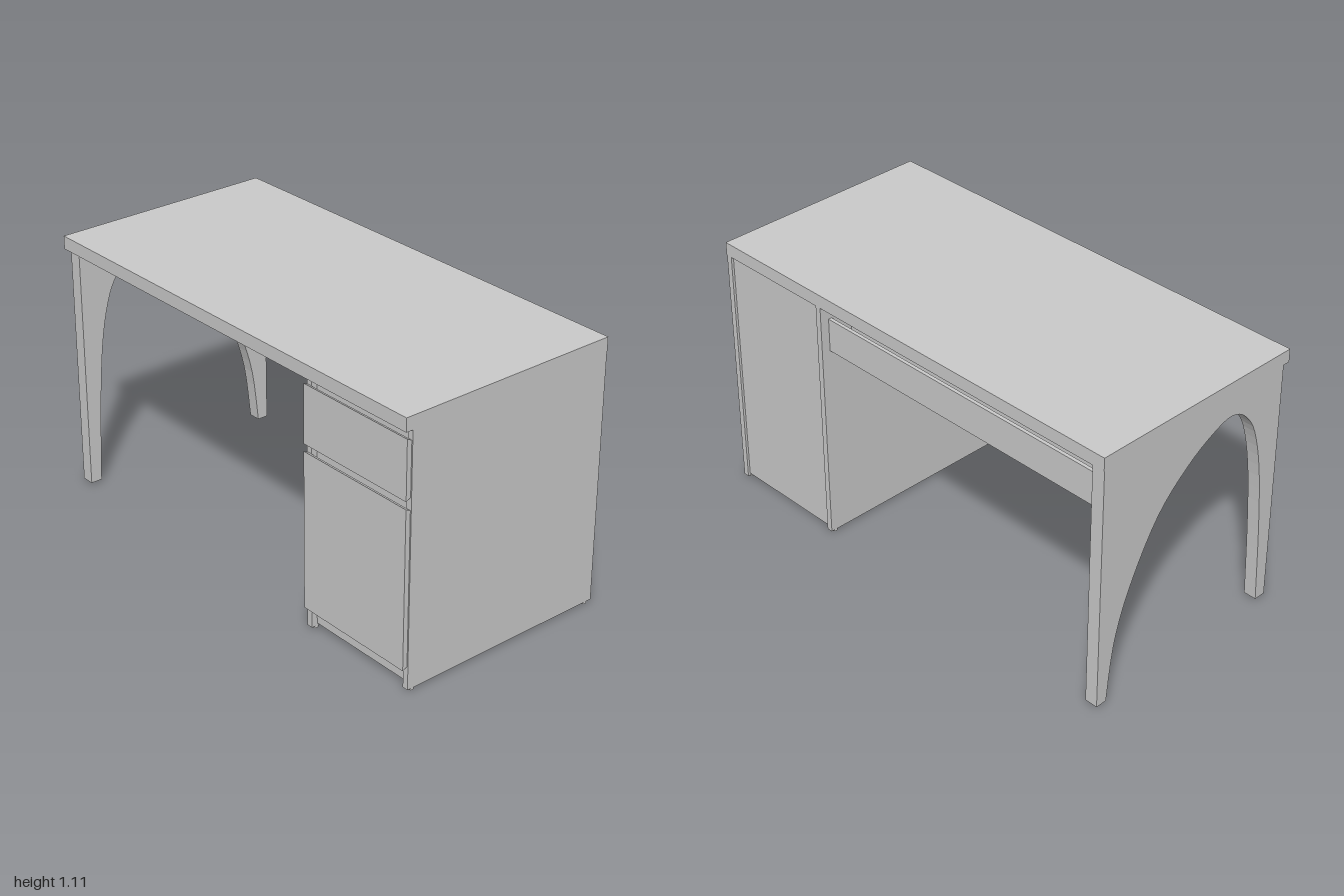
import * as THREE from 'three';

const material = new THREE.MeshStandardMaterial({ color: 0xcccccc });

// Box given by its limits on each axis
function slab(name, x0, x1, y0, y1, z0, z1) {
  const mesh = new THREE.Mesh(new THREE.BoxGeometry(x1 - x0, y1 - y0, z1 - z0), material);
  mesh.position.set((x0 + x1) / 2, (y0 + y1) / 2, (z0 + z1) / 2);
  mesh.name = name;
  return mesh;
}

// Outline in x and y, extruded from z0 to z1
function extruded(name, shape, z0, z1) {
  const geometry = new THREE.ExtrudeGeometry(shape, { depth: z1 - z0, bevelEnabled: false });
  const mesh = new THREE.Mesh(geometry, material);
  mesh.position.z = z0;
  mesh.name = name;
  return mesh;
}

const vectors = (points) => points.map(([x, y]) => new THREE.Vector2(x, y));

// Drawer front with slanted upper and lower edges
function drawerFront(name, y0, y1) {
  const profile = vectors([[-0.47, y0], [-0.45, y0 + 0.01], [-0.45, y1 - 0.01], [-0.47, y1]]);
  return extruded(name, new THREE.Shape(profile), 0.455, 0.995);
}

export function createModel() {
  const desk = new THREE.Group();
  desk.name = 'desk';
  const back = 0.478, front = -0.45;

  desk.add(slab('desktop', -0.48, 0.48, 1.05, 1.105, -1, 1));

  // Drawer cabinet
  const cabinet = new THREE.Group();
  cabinet.name = 'cabinet';
  cabinet.add(
    slab('outerSidePanel', front, back, 0.01, 1.05, 0.975, 1),
    slab('innerSidePanel', front, back, 0.01, 1.05, 0.45, 0.475),
    slab('carcass', -0.425, 0.468, 0.02, 1.05, 0.475, 0.975),
    drawerFront('lowerDrawerFront', 0.097, 0.75),
    drawerFront('upperDrawerFront', 0.78, 1.02),
  );
  desk.add(cabinet);

  // Leg panel with a leaning arch cut out from below
  const arch = new THREE.SplineCurve(vectors([
    [-0.4, 0.01], [-0.383, 0.366], [-0.357, 0.643], [-0.313, 0.83], [-0.256, 0.92], [-0.19, 0.958],
    [-0.11, 0.945], [0.035, 0.865], [0.19, 0.72], [0.32, 0.49], [0.396, 0.27], [0.43, 0.01],
  ])).getPoints(48);
  const legOutline = new THREE.Shape([
    ...vectors([[back, 0.01], [back, 1.05], [front, 1.05], [front, 0.01]]),
    ...arch,
  ]);
  desk.add(extruded('archedLegPanel', legOutline, -1, -0.945));

  // Cable tray between the cabinet and the leg panel
  const tray = new THREE.Group();
  tray.name = 'cableTray';
  tray.add(
    slab('trayOuterBoard', 0.425, 0.44, 0.845, 0.985, -0.945, 0.45),
    slab('trayInnerBoard', 0.315, 0.33, 0.845, 0.985, -0.945, 0.45),
    slab('trayFloor', 0.33, 0.425, 0.85, 0.865, -0.945, 0.45),
  );
  desk.add(tray);

  // Small feet
  for (const z of [0.987, 0.463, -0.972]) {
    for (const x of [-0.425, 0.452]) {
      const foot = new THREE.Mesh(new THREE.CylinderGeometry(0.012, 0.012, 0.01, 16), material);
      foot.position.set(x, 0.005, z);
      foot.name = 'foot';
      desk.add(foot);
    }
  }
  return desk;
}
